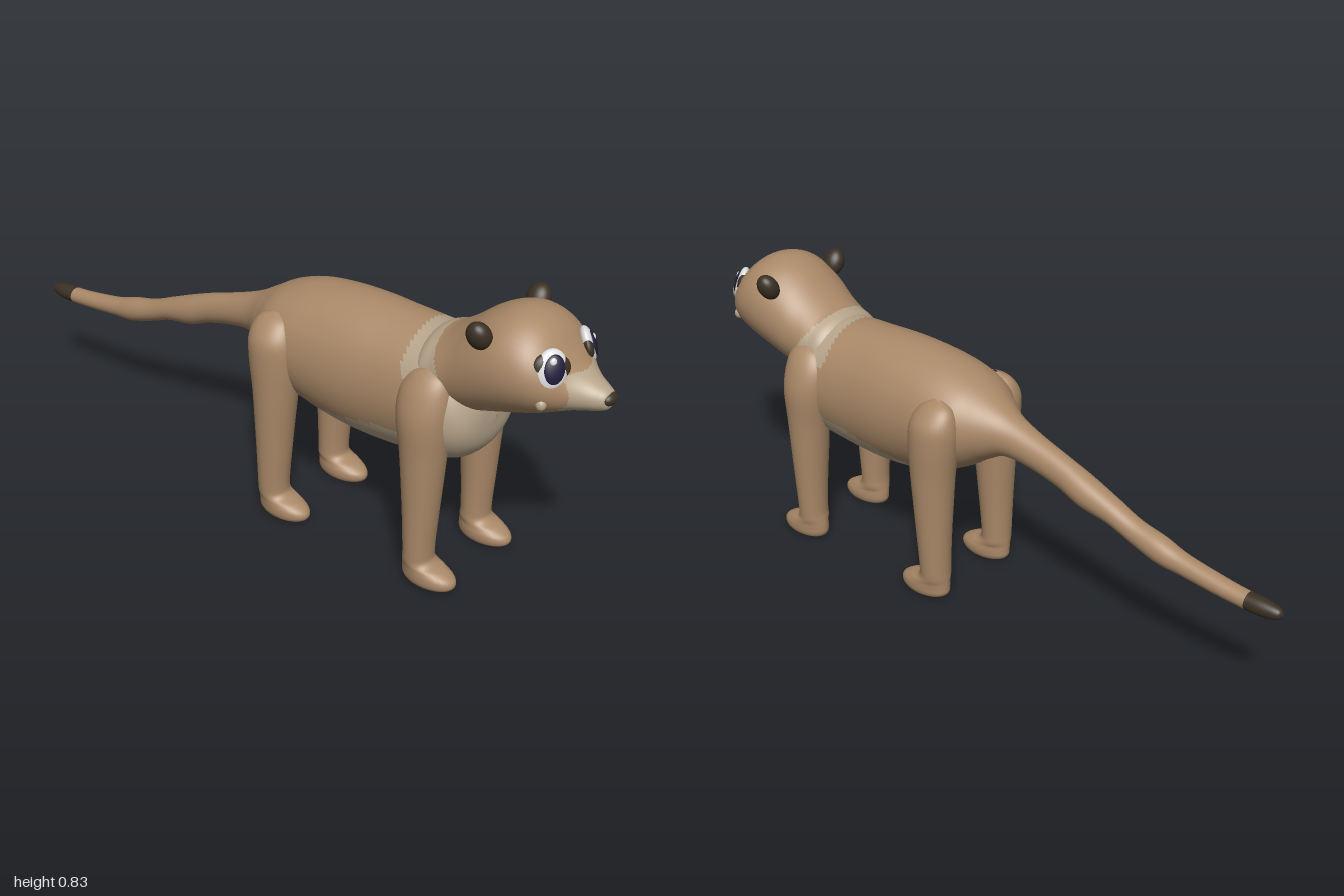
import * as THREE from 'three';

const mat = (name, color) => {
  const m = new THREE.MeshStandardMaterial({ color });
  m.name = name;
  return m;
};

// Smooth loft through rows [t, low, high, halfWidth, centreX]; t runs along z, or along y when upright.
// pick(x, y, z) chooses the material index of each face.
function loft(name, rows, mats, { upright = false, side = 1, steps = 8, sides = 56, pick = () => 0 } = {}) {
  const edge = new THREE.CatmullRomCurve3(rows.map(r => new THREE.Vector3(r[0], r[1], r[2])), false, 'catmullrom', 0.5);
  const wide = new THREE.CatmullRomCurve3(rows.map(r => new THREE.Vector3(r[3], r[4] || 0, 0)), false, 'catmullrom', 0.5);
  const n = (rows.length - 1) * steps, pos = [];
  for (let i = 0; i <= n; i++) {
    const e = edge.getPoint(i / n), w = wide.getPoint(i / n);
    for (let j = 0; j < sides; j++) {
      const a = (j / sides) * Math.PI * 2;
      const x = w.y * side + w.x * Math.cos(a);
      const o = (e.y + e.z) / 2 + ((e.z - e.y) / 2) * Math.sin(a);
      if (upright) pos.push(x, e.x, o); else pos.push(x, o, e.x);
    }
  }
  const lists = mats.map(() => []);
  for (let i = 0; i < n; i++) for (let j = 0; j < sides; j++) {
    const a = i * sides + j, b = i * sides + (j + 1) % sides, c = a + sides, d = b + sides;
    for (const tri of [[a, b, d], [a, d, c]]) {
      const mid = k => tri.reduce((s, v) => s + pos[v * 3 + k], 0) / 3;
      lists[pick(mid(0), mid(1), mid(2))].push(...tri);
    }
  }
  const geo = new THREE.BufferGeometry();
  geo.setAttribute('position', new THREE.Float32BufferAttribute(pos, 3));
  geo.setIndex(lists.flat());
  let start = 0;
  lists.forEach((l, k) => { geo.addGroup(start, l.length, k); start += l.length; });
  geo.computeVertexNormals();
  const mesh = new THREE.Mesh(geo, mats);
  mesh.name = name;
  return mesh;
}

function blob(name, material, [x, y, z], [rx, ry, rz]) {
  const mesh = new THREE.Mesh(new THREE.SphereGeometry(1, 28, 20), material);
  mesh.name = name;
  mesh.position.set(x, y, z);
  mesh.scale.set(rx, ry, rz);
  return mesh;
}

export function createModel() {
  const group = new THREE.Group();
  group.name = 'meerkat';
  const fur = mat('brown fur', 0xa98867);
  const cream = mat('cream fur', 0xb5a389);
  const dark = mat('dark fur', 0x3a3023);
  const white = mat('eye white', 0xdcdcdc);
  const navy = mat('iris navy', 0x211d3b);

  // Tail and torso, from tail tip to chest
  group.add(loft('torsoAndTail', [
    [-0.998, 0.329, 0.331, 0.001], [-0.985, 0.313, 0.345, 0.016], [-0.94, 0.305, 0.353, 0.025],
    [-0.88, 0.307, 0.355, 0.026], [-0.8, 0.313, 0.365, 0.028], [-0.7, 0.323, 0.383, 0.03],
    [-0.63, 0.33, 0.405, 0.036], [-0.55, 0.355, 0.425, 0.034], [-0.47, 0.385, 0.458, 0.037],
    [-0.38, 0.402, 0.495, 0.043], [-0.3, 0.432, 0.525, 0.04], [-0.2, 0.457, 0.558, 0.046],
    [-0.12, 0.463, 0.59, 0.062], [-0.06, 0.435, 0.625, 0.1], [0, 0.395, 0.66, 0.143],
    [0.08, 0.355, 0.687, 0.16], [0.18, 0.325, 0.702, 0.163], [0.28, 0.312, 0.706, 0.163],
    [0.38, 0.312, 0.702, 0.16], [0.47, 0.322, 0.697, 0.162], [0.55, 0.335, 0.69, 0.165],
    [0.61, 0.355, 0.655, 0.155], [0.65, 0.39, 0.6, 0.125], [0.67, 0.43, 0.55, 0.08], [0.676, 0.485, 0.495, 0.004],
  ], [fur, cream, dark], {
    pick: (x, y, z) => {
      if (z < -0.895) return 2;
      const belly = z > 0.1 && y < 0.36 + (z - 0.1) * 0.2;
      const collar = z > 0.465 + Math.max(0, 0.61 - y) * 0.9;
      return belly || collar ? 1 : 0;
    },
  }));

  // Neck, head and muzzle
  group.add(loft('head', [
    [0.44, 0.56, 0.64, 0.03], [0.5, 0.51, 0.696, 0.12], [0.55, 0.5, 0.718, 0.134], [0.6, 0.502, 0.752, 0.138],
    [0.65, 0.512, 0.792, 0.147], [0.7, 0.528, 0.82, 0.154], [0.75, 0.545, 0.831, 0.156], [0.8, 0.562, 0.82, 0.15],
    [0.84, 0.577, 0.793, 0.136], [0.875, 0.592, 0.752, 0.111], [0.905, 0.603, 0.72, 0.08], [0.935, 0.61, 0.7, 0.056],
    [0.965, 0.618, 0.685, 0.039], [0.985, 0.628, 0.673, 0.025], [0.993, 0.648, 0.654, 0.002],
  ], [fur, cream], {
    pick: (x, y, z) => {
      const muzzle = z > 0.885 && Math.abs(x) < 0.072 && y < 0.712;
      const collar = z > 0.465 && z < 0.53 + (0.71 - y) * 0.6;
      return muzzle || collar ? 1 : 0;
    },
  }));
  group.add(blob('nose', dark, [0, 0.655, 0.983], [0.026, 0.017, 0.017]));

  for (const s of [1, -1]) {
    const tag = s > 0 ? 'left' : 'right';
    // Legs, shoulder or hip down to the paw
    group.add(loft(tag + 'FrontLeg', [
      [0.635, 0.54, 0.56, 0.004, 0.125], [0.615, 0.5, 0.6, 0.03, 0.125], [0.57, 0.472, 0.617, 0.054, 0.128],
      [0.5, 0.47, 0.62, 0.066, 0.134], [0.4, 0.485, 0.612, 0.062, 0.134], [0.3, 0.495, 0.604, 0.058, 0.134],
      [0.2, 0.503, 0.597, 0.052, 0.135], [0.1, 0.508, 0.591, 0.047, 0.135], [0.068, 0.506, 0.597, 0.046, 0.134],
      [0.052, 0.504, 0.635, 0.046, 0.134], [0.035, 0.503, 0.662, 0.048, 0.133], [0.016, 0.505, 0.665, 0.046, 0.133],
      [0.004, 0.52, 0.645, 0.036, 0.133], [0.001, 0.575, 0.585, 0.002, 0.133],
    ], [fur], { upright: true, side: s, steps: 5, sides: 32 }));
    group.add(loft(tag + 'BackLeg', [
      [0.625, 0.03, 0.05, 0.004, 0.12], [0.605, -0.01, 0.09, 0.034, 0.125], [0.56, -0.028, 0.115, 0.06, 0.132],
      [0.5, -0.028, 0.122, 0.067, 0.132], [0.4, -0.015, 0.115, 0.063, 0.133], [0.3, -0.008, 0.105, 0.058, 0.134],
      [0.2, -0.003, 0.096, 0.052, 0.135], [0.1, 0, 0.088, 0.047, 0.135], [0.068, 0, 0.095, 0.046, 0.134],
      [0.052, 0, 0.135, 0.046, 0.134], [0.035, 0, 0.162, 0.048, 0.133], [0.016, 0.002, 0.165, 0.046, 0.133],
      [0.004, 0.02, 0.145, 0.036, 0.133], [0.001, 0.075, 0.085, 0.002, 0.133],
    ], [fur], { upright: true, side: s, steps: 5, sides: 32 }));

    // Ears and cheek spots
    const ear = blob(tag + 'Ear', dark, [s * 0.132, 0.777, 0.692], [0.029, 0.042, 0.033]);
    ear.rotation.z = -s * 0.5;
    group.add(ear);
    group.add(blob(tag + 'CheekSpot', cream, [s * 0.108, 0.64, 0.861], [0.014, 0.016, 0.014]));

    // Eye: dark mask, white, iris and glints
    const eye = new THREE.Group();
    eye.name = tag + 'Eye';
    eye.add(blob('eyeMask', dark, [0, 0.008, 0], [0.048, 0.036, 0.017]));
    eye.add(blob('eyeWhite', white, [0, 0, 0], [0.041, 0.053, 0.02]));
    eye.add(blob('iris', navy, [-s * 0.002, 0.003, 0.011], [0.028, 0.038, 0.013]));
    eye.add(blob('glint', white, [-0.004, 0.023, 0.019], [0.009, 0.01, 0.005]));
    eye.position.set(s * 0.083, 0.725, 0.866);
    eye.lookAt(s * (0.083 + 0.6), 0.725 + 0.28, 0.866 + 0.75);
    eye.rotateZ(s * 0.15);
    group.add(eye);
  }
  return group;
}
